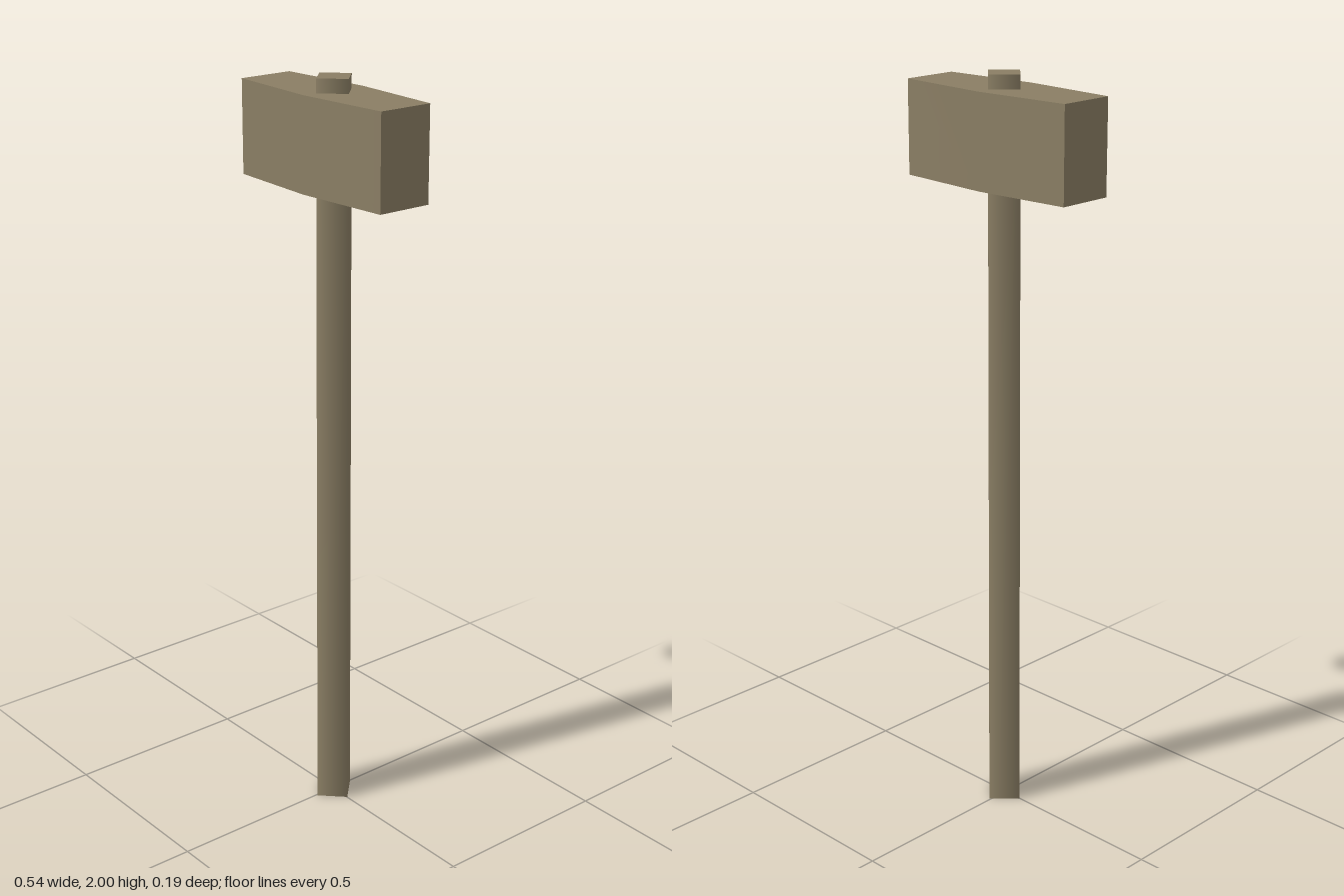
import * as THREE from 'three';
import { toCreasedNormals } from 'three/addons/utils/BufferGeometryUtils.js';

export function createModel() {
  const model = new THREE.Group();
  model.name = 'sledgehammer';
  const dullBrown = new THREE.MeshStandardMaterial({ color: 0x8a7e64 });
  dullBrown.name = 'dullBrown';

  // Handle: four-sided diamond shaft with soft normals, slightly thicker at the foot
  const handle = new THREE.Mesh(new THREE.CylinderGeometry(0.056, 0.059, 2, 4), dullBrown);
  handle.name = 'handle';
  handle.position.set(0.004, 1, -0.001);
  model.add(handle);

  // Head: long hexagonal plan, widest at the middle, extruded upward
  const bottom = 1.72, top = 1.964;
  const plan = new THREE.Shape([
    [-0.268, -0.076], [0, -0.094], [0.268, -0.076],
    [0.268, 0.076], [0, 0.094], [-0.268, 0.076],
  ].map(([x, z]) => new THREE.Vector2(x, z)));
  const headGeometry = new THREE.ExtrudeGeometry(plan, { depth: top - bottom, bevelEnabled: false });
  headGeometry.rotateX(-Math.PI / 2);
  const head = new THREE.Mesh(toCreasedNormals(headGeometry, 0.5), dullBrown);
  head.name = 'head';
  head.position.set(0, bottom, -0.001);
  model.add(head);

  return model;
}
